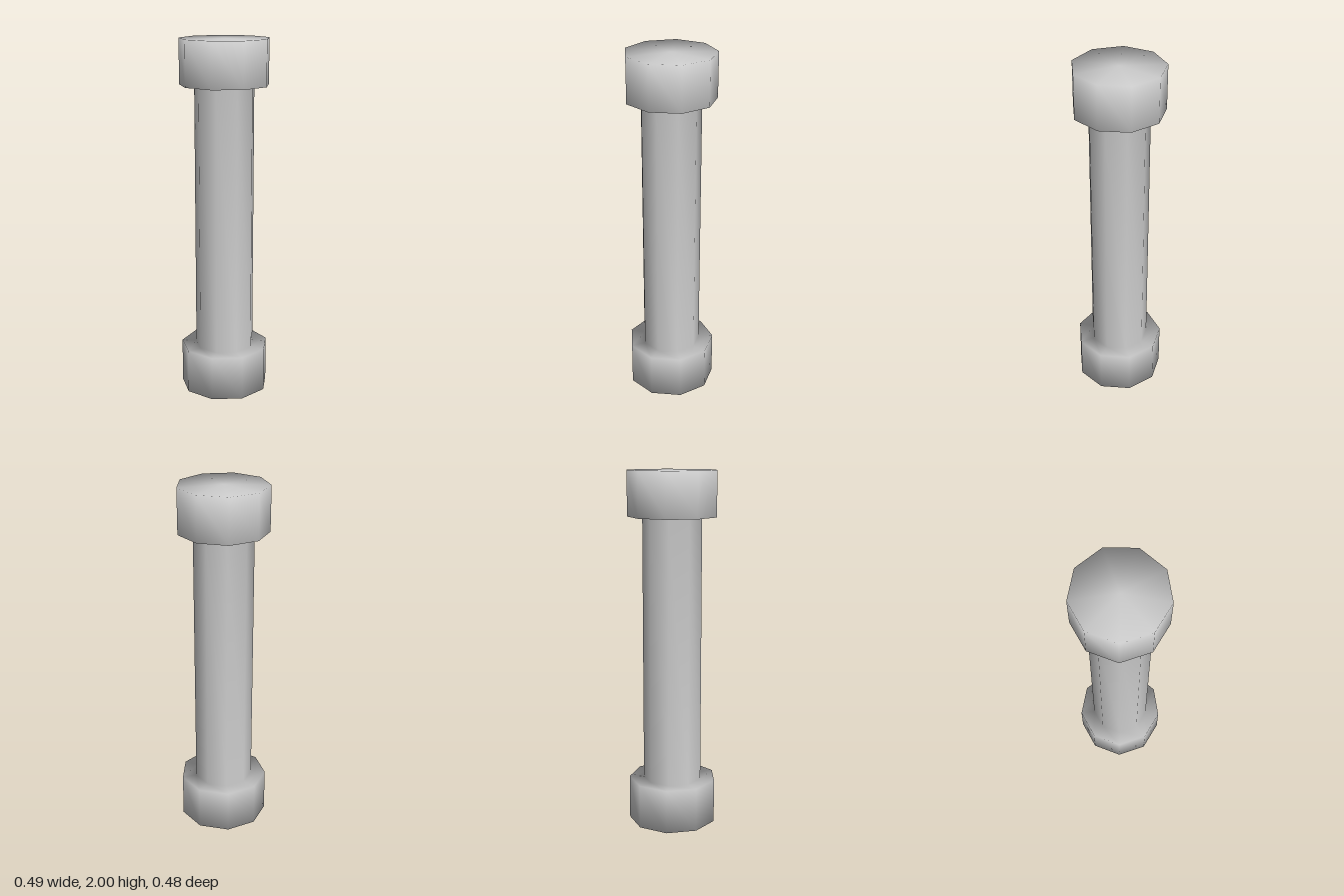
import * as THREE from 'three';
import { mergeVertices } from 'three/addons/utils/BufferGeometryUtils.js';

const SIDES = 9;
const CAP_RADIUS = 0.25;
const SHAFT_RADIUS = 0.167;
const CAP_HEIGHT = 0.25;
const HEIGHT = 2;

export function createModel() {
  const group = new THREE.Group();
  group.name = 'column';

  // Outline from the bottom centre to the top centre: base, shaft, capital
  const profile = [
    [0, 0],
    [CAP_RADIUS, 0],
    [CAP_RADIUS, CAP_HEIGHT],
    [SHAFT_RADIUS, CAP_HEIGHT],
    [SHAFT_RADIUS, HEIGHT - CAP_HEIGHT],
    [CAP_RADIUS, HEIGHT - CAP_HEIGHT],
    [CAP_RADIUS, HEIGHT],
    [0, HEIGHT],
  ].map(([r, y]) => new THREE.Vector2(r, y));

  // Nine sides with one corner pointing straight back
  let geometry = new THREE.LatheGeometry(profile, SIDES, Math.PI);

  // Weld all corners so the shading runs smoothly over every edge
  geometry.deleteAttribute('normal');
  geometry.deleteAttribute('uv');
  geometry = mergeVertices(geometry);
  geometry.computeVertexNormals();

  const column = new THREE.Mesh(
    geometry,
    new THREE.MeshStandardMaterial({ color: 0xcccccc })
  );
  column.name = 'shaftWithBaseAndCapital';
  // An odd-sided column is deeper at the back corner; centre its bounds
  column.position.z = (CAP_RADIUS * (1 - Math.cos(Math.PI / SIDES))) / 2;
  group.add(column);

  return group;
}
